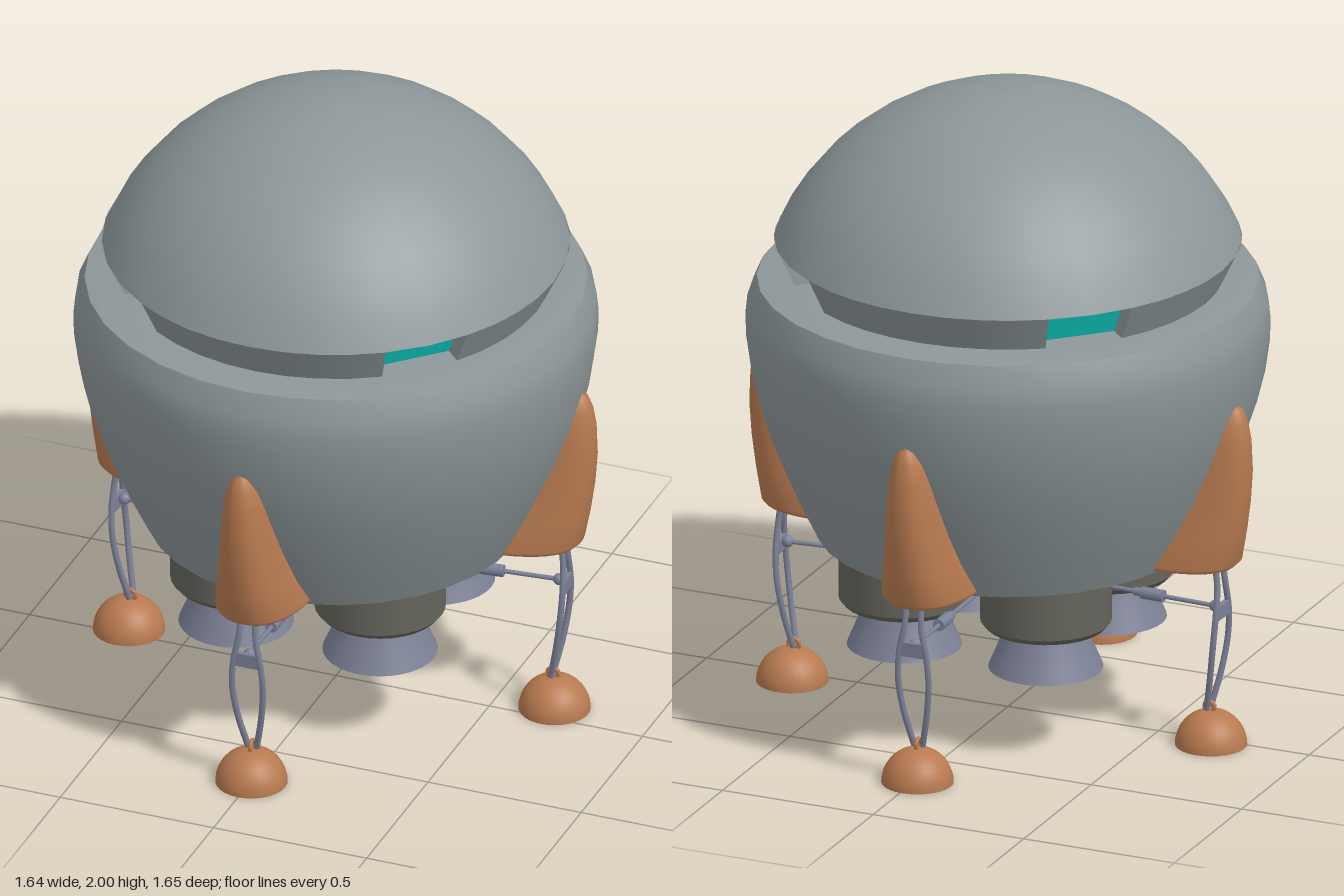
import * as THREE from 'three';

const mat = (name, color, side = THREE.FrontSide) => {
  const m = new THREE.MeshStandardMaterial({ color, side });
  m.name = name;
  return m;
};

export function createModel() {
  const hull = mat('hull grey', 0x8d9799, THREE.DoubleSide);
  const copper = mat('copper', 0xb87a50);
  const steel = mat('blue steel', 0x7c8196, THREE.DoubleSide);
  const engineGrey = mat('engine grey', 0x65645c);
  const glass = mat('teal glass', 0x10d0c8, THREE.DoubleSide);

  const model = new THREE.Group();
  model.name = 'landerPod';

  const add = (parent, name, geo, material, x = 0, y = 0, z = 0) => {
    const mesh = new THREE.Mesh(geo, material);
    mesh.name = name;
    mesh.position.set(x, y, z);
    parent.add(mesh);
    return mesh;
  };
  const lathe = (pts, segs = 32, start = 0, length = Math.PI * 2) =>
    new THREE.LatheGeometry(pts.map(p => new THREE.Vector2(p[0], p[1])), segs, start, length);
  const quad = (a, b, c, d) => {
    const g = new THREE.BufferGeometry();
    g.setAttribute('position', new THREE.Float32BufferAttribute([...a, ...b, ...c, ...d], 3));
    g.setIndex([0, 1, 2, 0, 2, 3]);
    g.computeVertexNormals();
    return g;
  };

  // Bowl-shaped lower hull with a shelf on top
  add(model, 'lowerHull', lathe([[0.58, 0.577], [0.635, 0.69], [0.682, 0.8], [0.722, 0.9], [0.755, 1.0],
    [0.78, 1.1], [0.794, 1.2], [0.796, 1.27], [0.79, 1.33], [0.762, 1.397]]), hull);
  add(model, 'hullUnderside', lathe([[0, 0.577], [0.58, 0.577]]), hull);
  add(model, 'hullShelf', lathe([[0.762, 1.397], [0.655, 1.41], [0.45, 1.41]]), hull);

  // Dome: spherical cap with a flat underside
  const R = 0.768, capAngle = Math.asin(0.71 / R), domePts = [];
  for (let i = 0; i <= 10; i++) {
    const t = capAngle * (1 - i / 10);
    domePts.push([R * Math.sin(t), 2 - R + R * Math.cos(t)]);
  }
  add(model, 'dome', lathe(domePts), hull);
  const rimY = domePts[0][1];
  add(model, 'domeUnderside', lathe([[0.45, rimY], [0.71, rimY]]), hull);

  // Slanted neck with four recessed windows
  const half = 0.19, neckLow = 0.655, neckHigh = 0.71, depth = 0.065;
  for (let k = 0; k < 4; k++) {
    const angle = Math.PI / 4 + k * Math.PI / 2;
    add(model, 'neckWall', lathe([[neckLow, 1.41], [neckHigh, rimY]], 8, angle + half, Math.PI / 2 - 2 * half), hull);
    const win = new THREE.Group();
    win.name = 'window';
    win.rotation.y = angle;
    model.add(win);
    const corner = (s, r, y, inset) => [s * r * Math.sin(half), y, r * Math.cos(half) - inset];
    for (const s of [-1, 1]) {
      add(win, 'windowJamb', quad(corner(s, neckLow, 1.41, 0), corner(s, neckHigh, rimY, 0),
        corner(s, neckHigh, rimY, depth), corner(s, neckLow, 1.41, depth)), hull);
    }
    add(win, 'windowPane', quad(corner(-1, neckLow, 1.41, depth), corner(1, neckLow, 1.41, depth),
      corner(1, neckHigh, rimY, depth), corner(-1, neckHigh, rimY, depth)), glass);
  }

  // Four engines with flared bells
  for (const sx of [-1, 1]) for (const sz of [-1, 1]) {
    const engine = new THREE.Group();
    engine.name = 'engine';
    engine.position.set(sx * 0.235 - 0.005, 0, sz * 0.235 - 0.02);
    model.add(engine);
    add(engine, 'engineCasing', new THREE.CylinderGeometry(0.2, 0.2, 0.17, 32), engineGrey, 0, 0.5, 0);
    add(engine, 'engineBevel', new THREE.CylinderGeometry(0.2, 0.185, 0.018, 32), engineGrey, 0, 0.406, 0);
    add(engine, 'engineBell', lathe([[0.175, 0.26], [0.15, 0.32], [0.128, 0.38], [0.12, 0.41]]), steel);
    add(engine, 'bellThroat', lathe([[0, 0.385], [0.126, 0.385]]), steel);
  }

  // Tapered leg fairing: D-shaped sections [y, half width, inner radius, outer radius]
  const rows = [[0.585, 0.138, 0.5, 0.765], [0.6, 0.144, 0.52, 0.78], [0.7, 0.119, 0.58, 0.8],
    [0.8, 0.099, 0.63, 0.815], [0.9, 0.084, 0.67, 0.823], [1.0, 0.068, 0.7, 0.82],
    [1.06, 0.052, 0.72, 0.81], [1.1, 0.03, 0.74, 0.795], [1.115, 0.002, 0.75, 0.772]];
  const N = 20, pos = [], idx = [];
  const ring = ([y, w, inner, outer]) => {
    for (let i = 0; i <= N; i++) {
      const t = Math.PI * i / N, c = Math.cos(t);
      pos.push(w * Math.sign(c) * Math.abs(c) ** 0.85, y, inner + (outer - inner) * Math.max(0, Math.sin(t)) ** 0.85);
    }
  };
  rows.forEach(ring);
  for (let j = 0; j < rows.length - 1; j++) for (let i = 0; i < N; i++) {
    const a = j * (N + 1) + i, d = a + N + 1;
    idx.push(a, d, d + 1, a, d + 1, a + 1);
  }
  const base = pos.length / 3;
  ring(rows[0]);
  pos.push(0, rows[0][0], rows[0][2]);
  for (let i = 0; i < N; i++) idx.push(base + i, base + i + 1, base + N + 1);
  const fairing = new THREE.BufferGeometry();
  fairing.setAttribute('position', new THREE.Float32BufferAttribute(pos, 3));
  fairing.setIndex(idx);
  fairing.computeVertexNormals();

  const rod = (parent, name, r, from, to) => {
    const m = add(parent, name, new THREE.CylinderGeometry(r, r, to - from, 12), steel, 0, 0.45, (from + to) / 2);
    m.rotation.x = Math.PI / 2;
  };

  // Four landing legs, set at slightly uneven angles
  for (const deg of [0, 95.5, 180.7, 267.2]) {
    const leg = new THREE.Group();
    leg.name = 'landingLeg';
    leg.rotation.y = THREE.MathUtils.degToRad(deg);
    model.add(leg);
    add(leg, 'legFairing', fairing, copper);

    // Paired bowed struts joined by a bridge
    for (const s of [-1, 1]) {
      const path = new THREE.CatmullRomCurve3([[0.024, 0.6, 0.715], [0.027, 0.52, 0.725], [0.044, 0.43, 0.728],
        [0.05, 0.34, 0.722], [0.038, 0.23, 0.706], [0.014, 0.115, 0.682]]
        .map(p => new THREE.Vector3(s * p[0], p[1], p[2])));
      add(leg, 'strut', new THREE.TubeGeometry(path, 24, 0.01, 8), steel);
    }
    add(leg, 'strutBridge', new THREE.BoxGeometry(0.085, 0.045, 0.016), steel, 0, 0.44, 0.727);

    // Horizontal actuator
    rod(leg, 'actuatorRod', 0.007, 0.25, 0.71);
    rod(leg, 'actuatorSleeve', 0.019, 0.455, 0.53);
    rod(leg, 'actuatorCollar', 0.013, 0.43, 0.455);
    add(leg, 'actuatorBall', new THREE.SphereGeometry(0.019, 12, 8), steel, 0, 0.45, 0.705);

    // Domed foot with an ankle ring
    add(leg, 'foot', new THREE.SphereGeometry(0.11, 28, 10, 0, Math.PI * 2, 0, Math.PI / 2), copper, 0, 0, 0.69);
    add(leg, 'footSole', new THREE.CircleGeometry(0.11, 28), copper, 0, 0, 0.69).rotation.x = Math.PI / 2;
    add(leg, 'ankleRing', new THREE.TorusGeometry(0.017, 0.007, 8, 16), copper, 0, 0.12, 0.685).rotation.y = Math.PI / 2;
  }
  return model;
}
